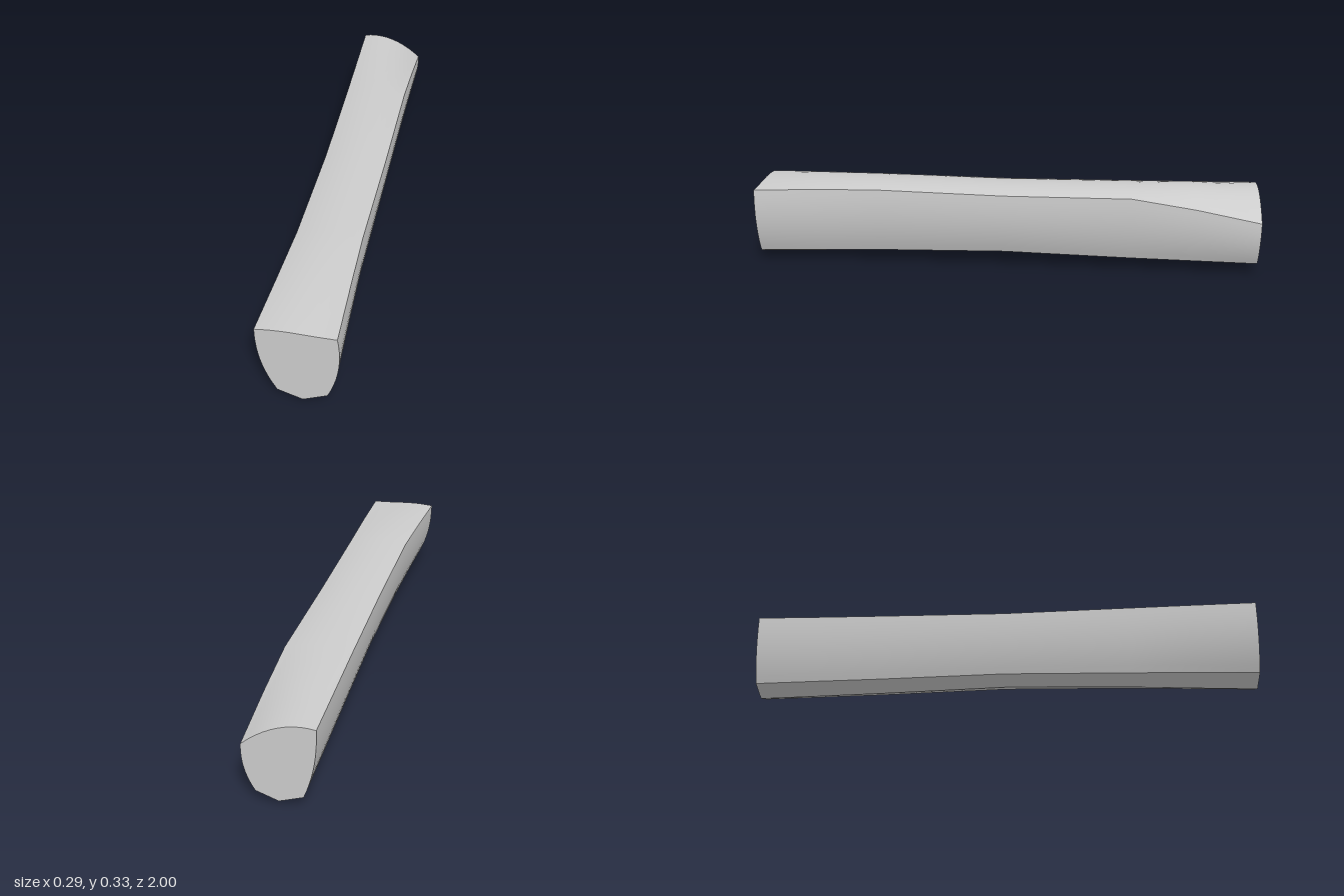
import * as THREE from 'three';
import { toCreasedNormals } from 'three/addons/utils/BufferGeometryUtils.js';

const N = 10; // segments along each curved side and the top

// Stations along the bar, front to back:
// keel, lower corners and upper corners (x, y), top crown height, side bulge, top waviness
const stations = [
  { z: 1, keel: [0.01, 0.002], lowR: [0.096, 0.037], lowL: [-0.078, 0.035], topR: [0.132, 0.305], topL: [-0.145, 0.306], crown: 0.005, bulge: 0.04, wave: 0.004 },
  { z: 0.75, keel: [0.01, 0.013], lowR: [0.092, 0.045], lowL: [-0.072, 0.044], topR: [0.13, 0.315], topL: [-0.128, 0.312], crown: 0.015, bulge: 0.03, wave: 0.001 },
  { z: 0.5, keel: [0.01, 0.025], lowR: [0.089, 0.053], lowL: [-0.066, 0.053], topR: [0.128, 0.319], topL: [-0.113, 0.316], crown: 0.016, bulge: 0.025, wave: 0 },
  { z: 0, keel: [0.014, 0.04], lowR: [0.094, 0.065], lowL: [-0.062, 0.065], topR: [0.135, 0.311], topL: [-0.106, 0.312], crown: 0.02, bulge: 0.02, wave: 0 },
  { z: -0.5, keel: [0.016, 0.028], lowR: [0.098, 0.056], lowL: [-0.064, 0.056], topR: [0.14, 0.315], topL: [-0.109, 0.316], crown: 0.018, bulge: 0.015, wave: 0 },
  { z: -0.75, keel: [0.018, 0.024], lowR: [0.099, 0.053], lowL: [-0.066, 0.053], topR: [0.141, 0.278], topL: [-0.112, 0.318], crown: 0.029, bulge: 0.012, wave: 0 },
  { z: -1, keel: [0.019, 0.02], lowR: [0.099, 0.05], lowL: [-0.067, 0.05], topR: [0.142, 0.23], topL: [-0.115, 0.321], crown: 0.035, bulge: 0.01, wave: 0 },
];

// Point on a side wall that swells outward from lower to upper corner
function sidePoint(low, top, t, bulge) {
  const f = 1 - Math.pow(1 - t, 2.3);
  return [low[0] + (top[0] - low[0]) * f + bulge * t * (1 - t), low[1] + (top[1] - low[1]) * t];
}

// Closed outline, anticlockwise seen from the front
function outline(s) {
  const pts = [s.keel];
  for (let i = 0; i <= N; i++) pts.push(sidePoint(s.lowR, s.topR, i / N, s.bulge));
  for (let i = 1; i < N; i++) {
    const t = i / N;
    const y = s.topR[1] + (s.topL[1] - s.topR[1]) * t
      + s.crown * 4 * t * (1 - t) - s.wave * Math.sin(2 * Math.PI * t) * 0.5;
    pts.push([s.topR[0] + (s.topL[0] - s.topR[0]) * t, y]);
  }
  for (let i = N; i >= 0; i--) pts.push(sidePoint(s.lowL, s.topL, i / N, 0));
  return pts;
}

// Loft through the stations and cap both ends
function loft() {
  const rings = stations.map(outline);
  const M = rings[0].length;
  const positions = [];
  const index = [];
  rings.forEach((ring, k) => ring.forEach(([x, y]) => positions.push(x, y, stations[k].z)));
  for (let k = 0; k < rings.length - 1; k++) {
    for (let i = 0; i < M; i++) {
      const a = k * M + i, b = k * M + (i + 1) % M;
      index.push(a, a + M, b, b, a + M, b + M);
    }
  }
  const cap = (k, flip) => {
    const shape = rings[k].map(([x, y]) => new THREE.Vector2(x, y));
    for (const [a, b, c] of THREE.ShapeUtils.triangulateShape(shape, [])) {
      const o = k * M;
      if (flip) index.push(o + a, o + c, o + b);
      else index.push(o + a, o + b, o + c);
    }
  };
  cap(0, false);
  cap(rings.length - 1, true);
  const geo = new THREE.BufferGeometry();
  geo.setAttribute('position', new THREE.Float32BufferAttribute(positions, 3));
  geo.setIndex(index);
  return toCreasedNormals(geo, 0.5);
}

export function createModel() {
  const group = new THREE.Group();
  group.name = 'keeledBar';
  const bar = new THREE.Mesh(loft(), new THREE.MeshStandardMaterial({ color: 0xcccccc }));
  bar.name = 'bar';
  group.add(bar);
  return group;
}
